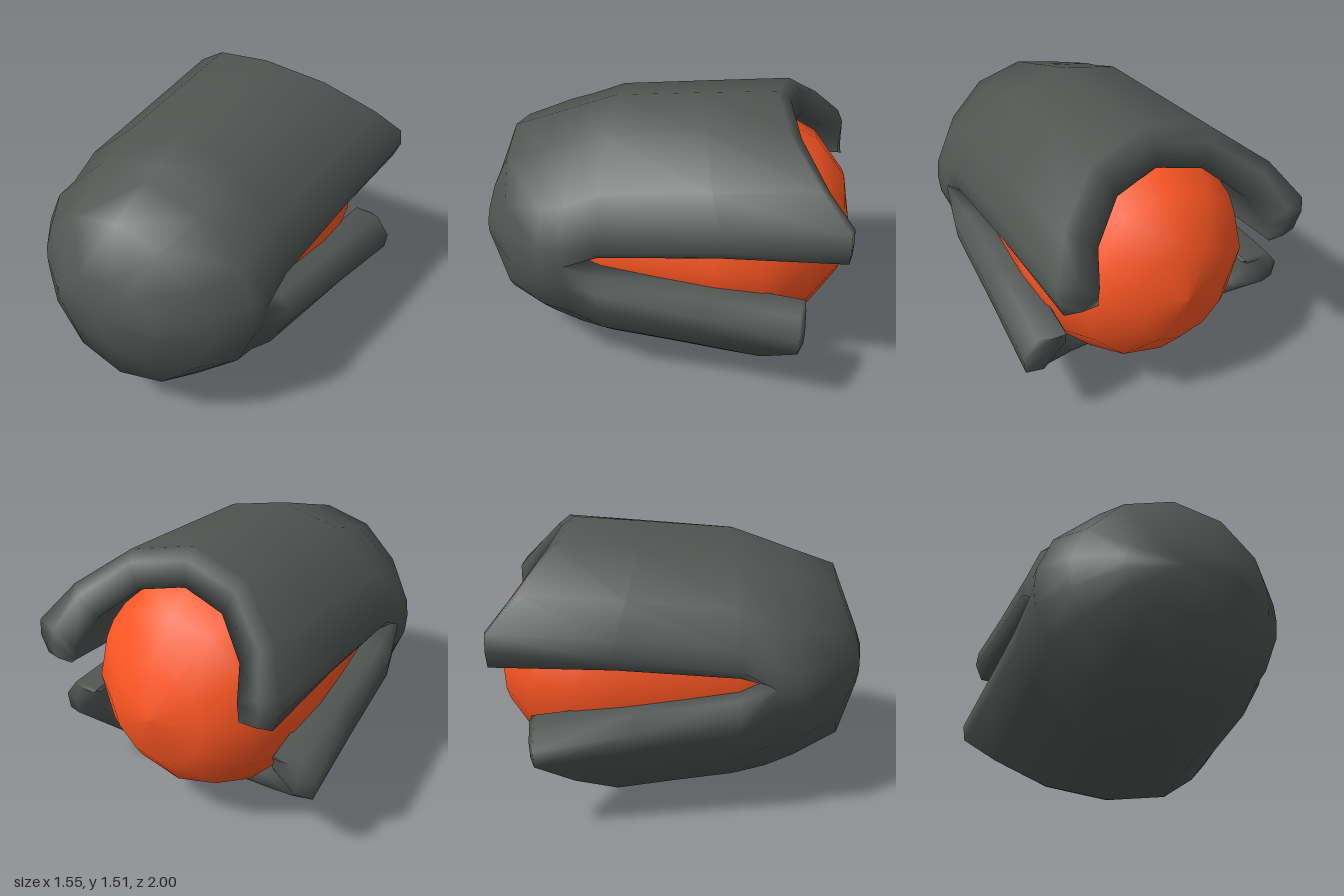
import * as THREE from 'three';
import { mergeVertices } from 'three/addons/utils/BufferGeometryUtils.js';

const MID = 0.78; // height of the nose tip and of the side slits
const ANGLES = [0, 10, 30, 60, 90, 120, 150, 170, 180]; // columns across a jaw

// Rows run from the nose to the rear rim, then fold inside.
// [half width, edge y, crown y, edge z, crown z, lip x, lip y, inner x]
// Rows without lip values are closed at the side.
const upperRows = [
  [0, MID, MID, 1, 1],
  [0.3, MID, 0.97, 0.94, 0.93],
  [0.52, MID, 1.25, 0.77, 0.82],
  [0.65, MID, 1.34, 0.59, 0.57],
  [0.645, MID, 1.385, 0.47, 0.45, 0.61, MID, 0.48],
  [0.65, 0.88, 1.45, 0.29, 0.27, 0.61, 0.83, 0.49],
  [0.67, 0.945, 1.485, -0.33, -0.2, 0.63, 0.885, 0.5],
  [0.7, 1.01, 1.51, -0.95, -0.57, 0.66, 0.915, 0.5],
  [0.6, 0.99, 1.46, -0.97, -0.64, 0.58, 0.915, 0.49],
  [0.48, 0.925, 1.33, -0.95, -0.66],
  [0.48, 0.83, 1.3, 0.29, 0.2],
];
const lowerRows = [
  [0, MID, MID, 1, 1],
  [0.3, MID, 0.54, 0.94, 0.93],
  [0.52, MID, 0.3, 0.77, 0.86],
  [0.65, MID, 0.18, 0.59, 0.61],
  [0.645, MID, 0.1, 0.47, 0.45, 0.61, MID, 0.48],
  [0.685, 0.65, 0.07, 0.29, 0.27, 0.62, 0.715, 0.49],
  [0.73, 0.58, 0.035, -0.25, -0.02, 0.66, 0.66, 0.52],
  [0.775, 0.51, 0, -0.74, -0.28, 0.7, 0.61, 0.55],
  [0.69, 0.52, 0.015, -0.77, -0.34, 0.64, 0.605, 0.55],
  [0.54, 0.595, 0.14, -0.73, -0.39],
  [0.49, 0.715, 0.2, 0.29, 0.2],
];

// One jaw: an arched skin whose ends carry a rounded lip turning inward
function addJaw(rows, pos, index, flip) {
  const W = ANGLES.length + 4, base = pos.length / 3;
  for (const [X, yE, H, zE, zC, lx = X, ly = yE, ix = X] of rows) {
    pos.push(ix, ly, zE, lx, ly, zE);
    for (const deg of ANGLES) {
      const a = THREE.MathUtils.degToRad(deg);
      const s = deg % 180 ? Math.sin(a) : 0;
      // the flare of the jaw is strongest beside the slit
      const w = s < 0.3 ? X : Math.min(X, 0.65 + (X - 0.65) * 0.35);
      // the sweep of the rim starts just above the blunt tip
      const sweep = Math.max(0, (s - 0.17) / 0.83);
      pos.push(w * Math.cos(a), yE + (H - yE) * s, zE + (zC - zE) * sweep);
    }
    pos.push(-lx, ly, zE, -ix, ly, zE);
  }
  for (let i = 0; i < rows.length - 1; i++) {
    for (let j = 0; j < W - 1; j++) {
      const a = base + i * W + j, b = a + 1, c = a + W, d = c + 1;
      if (flip) index.push(a, b, c, b, d, c);
      else index.push(a, c, b, b, c, d);
    }
  }
}

export function createModel() {
  const group = new THREE.Group();

  // Split outer shell, both jaws welded at the nose
  const pos = [], index = [];
  addJaw(upperRows, pos, index, false);
  addJaw(lowerRows, pos, index, true);
  let shellGeo = new THREE.BufferGeometry();
  shellGeo.setAttribute('position', new THREE.Float32BufferAttribute(pos, 3));
  shellGeo.setIndex(index);
  shellGeo = mergeVertices(shellGeo, 1e-4);
  shellGeo.computeVertexNormals();
  const shell = new THREE.Mesh(
    shellGeo,
    new THREE.MeshStandardMaterial({ color: 0x505552, side: THREE.DoubleSide })
  );
  shell.name = 'splitShell';
  group.add(shell);

  // Rounded core seen through the slits and at the rear, slightly narrow
  const profile = [
    [0, -1], [0.28, -0.95], [0.49, -0.79], [0.615, -0.55],
    [0.62, -0.3], [0.59, 0], [0.55, 0.3], [0.49, 0.47], [0, 0.6],
  ].map(([r, z]) => new THREE.Vector2(r, z));
  const coreGeo = new THREE.LatheGeometry(profile, 12);
  coreGeo.rotateX(Math.PI / 2);
  const core = new THREE.Mesh(coreGeo, new THREE.MeshStandardMaterial({ color: 0xff5723 }));
  core.name = 'core';
  core.position.y = 0.76;
  core.scale.x = 0.95;
  group.add(core);

  return group;
}
